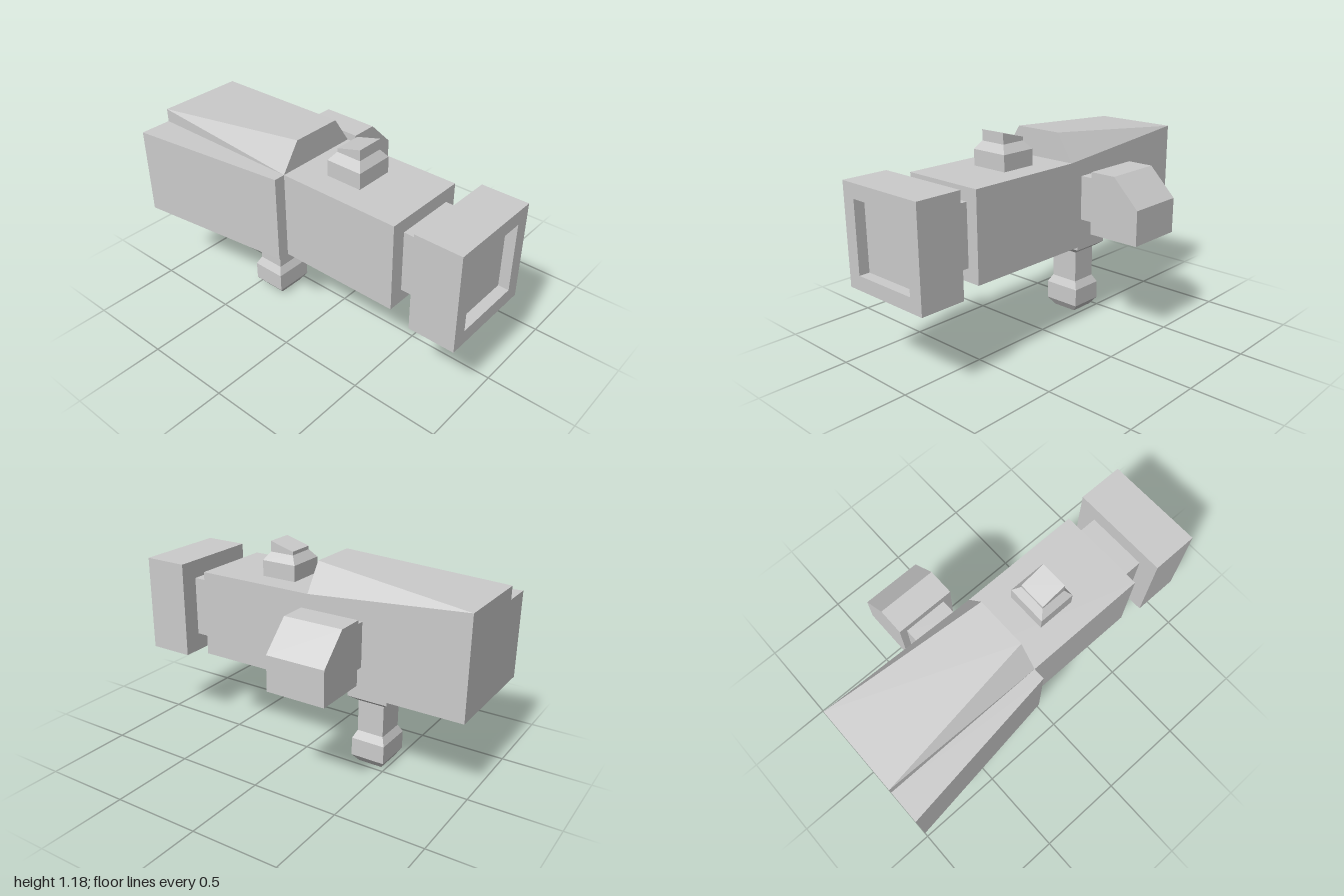
import * as THREE from 'three';

const material = new THREE.MeshStandardMaterial({ color: 0xcccccc, flatShading: true });

// Four corners, counter-clockwise from above: front -x, front +x, rear +x, rear -x
const rect = (y, x0, x1, z0, z1) => [[x0, y, z1], [x1, y, z1], [x1, y, z0], [x0, y, z0]];

// Closed faceted solid through four-cornered rings, listed bottom to top
function loft(rings) {
  const pos = [];
  const tri = (...points) => points.forEach((p) => pos.push(...p));
  const quad = (a, b, c, d) => { tri(a, b, c); tri(a, c, d); };
  for (let r = 0; r < rings.length - 1; r++) {
    const a = rings[r], b = rings[r + 1];
    for (let i = 0; i < 4; i++) {
      const j = (i + 1) % 4;
      // the -x side is split the mirrored way to match the +x side
      if (i === 3) quad(a[j], b[j], b[i], a[i]);
      else quad(a[i], a[j], b[j], b[i]);
    }
  }
  const [a, b, c, d] = rings[0];
  quad(d, c, b, a);
  quad(...rings[rings.length - 1]);
  const geometry = new THREE.BufferGeometry();
  geometry.setAttribute('position', new THREE.Float32BufferAttribute(pos, 3));
  geometry.computeVertexNormals();
  return geometry;
}

function box(x0, x1, y0, y1, z0, z1) {
  return new THREE.BoxGeometry(x1 - x0, y1 - y0, z1 - z0)
    .translate((x0 + x1) / 2, (y0 + y1) / 2, (z0 + z1) / 2);
}

function outline(points) {
  return points.map(([x, y]) => new THREE.Vector2(x, y));
}

function extrude(shape, z0, z1) {
  return new THREE.ExtrudeGeometry(shape, { depth: z1 - z0, bevelEnabled: false }).translate(0, 0, z0);
}

export function createModel() {
  const group = new THREE.Group();
  const add = (name, geometry) => {
    const mesh = new THREE.Mesh(geometry, material);
    mesh.name = name;
    group.add(mesh);
  };

  // Main body and the neck leading to the front block
  add('body', box(-0.365, 0.13, 0.495, 0.99, -1, 0.61));
  add('frontNeck', box(-0.285, 0.06, 0.57, 0.915, 0.61, 0.74));

  // Front block with a square recess
  const frame = new THREE.Shape(outline([[-0.39, 0.465], [0.165, 0.465], [0.165, 1.02], [-0.39, 1.02]]));
  frame.holes.push(new THREE.Path(outline([[-0.31, 0.545], [-0.31, 0.94], [0.085, 0.94], [0.085, 0.545]])));
  add('frontFrame', extrude(frame, 0.94, 1));
  add('frontBlock', box(-0.39, 0.165, 0.465, 1.02, 0.74, 0.94));

  // Rear top cover: narrow and high in front, wide and low at the back
  add('rearCover', loft([
    rect(0.99, -0.365, 0.13, -1, -0.09),
    [[-0.26, 1.145, -0.09], [0.03, 1.145, -0.09], [0.13, 1.065, -1], [-0.365, 1.065, -1]],
  ]));

  // Tapered panel on the right flank
  const panelRing = (y) => [[-0.43, y, -0.09], [-0.365, y, -0.09], [-0.365, y, -1], [-0.545, y, -1]];
  add('sidePanel', loft([panelRing(0.495), panelRing(0.99)]));

  // Top knob with a sloping cap
  add('topKnob', loft([
    rect(0.99, -0.225, 0, 0.08, 0.29),
    rect(1.08, -0.225, 0, 0.08, 0.29),
    rect(1.125, -0.19, -0.035, 0.115, 0.26),
  ]));
  add('topKnobCap', loft([
    rect(1.125, -0.19, -0.035, 0.115, 0.26),
    [[-0.19, 1.185, 0.26], [-0.035, 1.185, 0.26], [-0.035, 1.145, 0.115], [-0.19, 1.145, 0.115]],
  ]));

  // Side handle with one bevelled corner
  add('sideStub', box(0.13, 0.24, 0.655, 0.905, -0.42, -0.175));
  const handle = new THREE.Shape(outline([[0.24, 0.605], [0.545, 0.605], [0.545, 0.8], [0.39, 0.955], [0.24, 0.955]]));
  add('sideHandle', extrude(handle, -0.46, -0.125));

  // Lower peg: flared foot, square stem and tapered collar
  const pegRings = [ // y, half width, half depth
    [0, 0.077, 0.072], [0.045, 0.113, 0.1], [0.15, 0.113, 0.1], [0.195, 0.088, 0.078],
    [0.38, 0.088, 0.078], [0.415, 0.138, 0.12], [0.495, 0.138, 0.12],
  ];
  add('lowerPeg', loft(pegRings.map(([y, w, d]) => rect(y, -0.116 - w, -0.116 + w, -0.4 - d, -0.4 + d))));

  return group;
}
